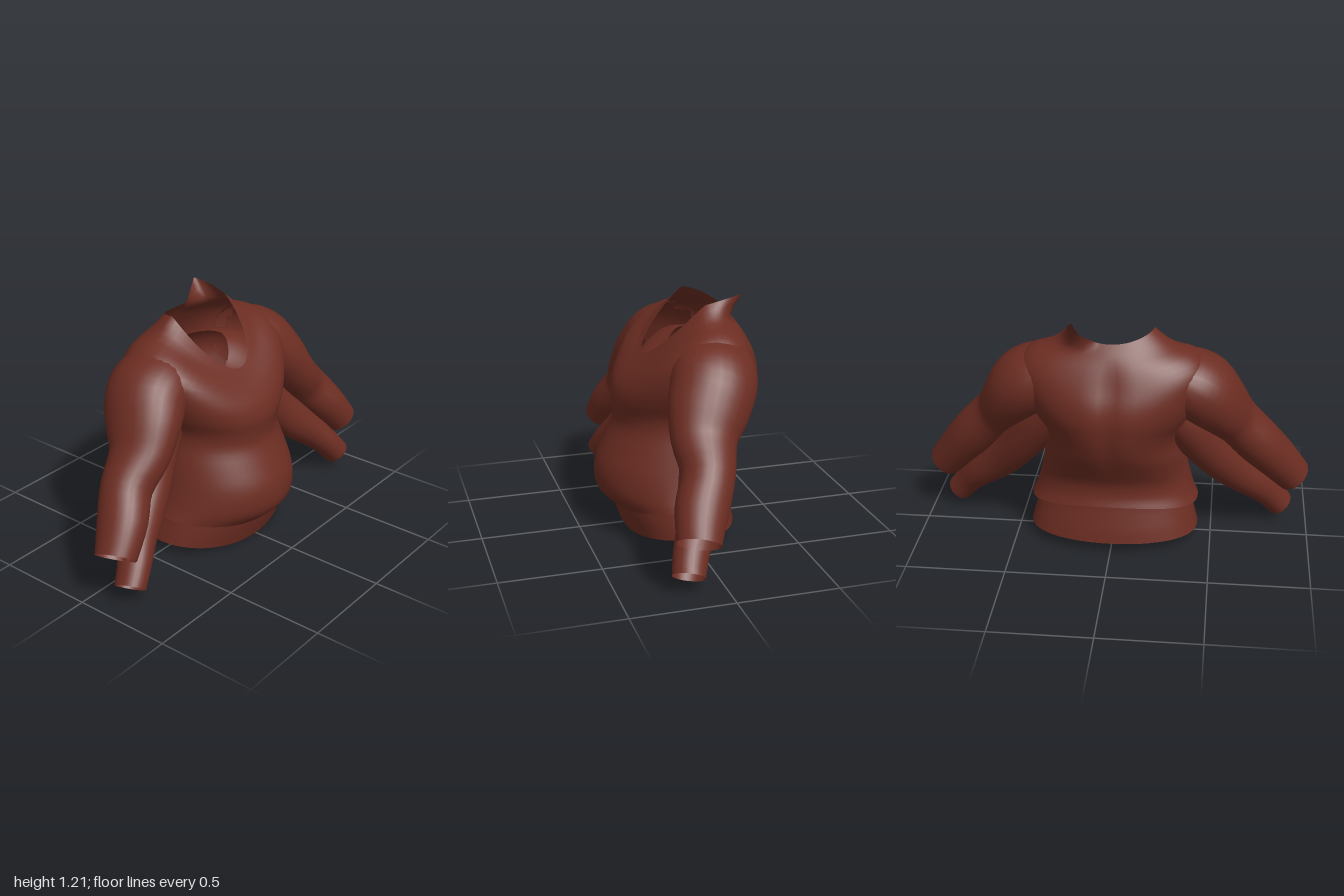
import * as THREE from 'three';

const SEG = 64;
const cloth = new THREE.MeshStandardMaterial({ color: 0x6c2d22, side: THREE.DoubleSide });
cloth.name = 'russet cloth';

// Smoothly add rows between the given rows of numbers
function refine(rows, steps) {
  const curve = new THREE.CubicInterpolant(rows.map((_, k) => k), rows.flat(), rows[0].length);
  const count = (rows.length - 1) * steps;
  return Array.from({ length: count + 1 }, (_, k) => Array.from(curve.evaluate(k / steps)));
}

// Skin a list of closed rings into an open tube, leaving out faces where isHole(corner) holds
function loft(rings, name, { flip = false, isHole = () => false } = {}) {
  const n = rings[0].length, pos = [], index = [];
  const points = rings.flat(), cut = points.map(isHole);
  for (const p of points) pos.push(p.x, p.y, p.z);
  for (let r = 0; r < rings.length - 1; r++) {
    for (let i = 0; i < n; i++) {
      const a = r * n + i, b = r * n + (i + 1) % n, c = a + n, d = b + n;
      if (cut[a] && cut[b] && cut[c] && cut[d]) continue;
      if (flip) index.push(a, b, c, b, d, c);
      else index.push(a, c, b, b, c, d);
    }
  }
  const geo = new THREE.BufferGeometry();
  geo.setAttribute('position', new THREE.Float32BufferAttribute(pos, 3));
  geo.setIndex(index);
  geo.computeVertexNormals();
  const mesh = new THREE.Mesh(geo, cloth);
  mesh.name = name;
  return mesh;
}

// Torso ring: half width, y and z at the front, sides and back, roundness of the
// front and back in plan (1 = ellipse, less = boxier), depth of the spine hollow,
// and how the front edge dips (2 = gently, 1 = straight down from the sides)
function torsoRing([rx, yf, zf, ys, zs, yb, zb, roundF, roundB, groove, dip]) {
  return Array.from({ length: SEG }, (_, i) => {
    const t = (i / SEG) * Math.PI * 2, s = Math.abs(Math.sin(t)), x = rx * Math.cos(t);
    const front = i < SEG / 2;
    const y = ys + (front ? (yf - ys) * s ** dip : (yb - ys) * s * s);
    let z = zs + (front ? (zf - zs) * s ** roundF : (zb - zs) * s ** roundB);
    if (!front) z += groove * Math.exp(-((x / 0.05) ** 2));
    return new THREE.Vector3(x, y, z);
  });
}

// Sleeve from stations: centre x, y, z, radius across, radius front to back
function sleeve(stations, side, name) {
  const rows = refine(stations, 3);
  const centres = rows.map(s => new THREE.Vector3(s[0], s[1], s[2]));
  const rings = rows.map((s, k) => {
    const t = centres[Math.min(k + 1, centres.length - 1)].clone()
      .sub(centres[Math.max(k - 1, 0)]).normalize();
    const v = new THREE.Vector3(0, 0, 1).addScaledVector(t, -t.z).normalize();
    const u = new THREE.Vector3().crossVectors(v, t);
    return Array.from({ length: 28 }, (_, i) => {
      const a = (i / 28) * Math.PI * 2;
      const p = centres[k].clone()
        .addScaledVector(u, s[3] * Math.cos(a)).addScaledVector(v, s[4] * Math.sin(a));
      p.x *= side;
      return p;
    });
  });
  return loft(rings, name, { flip: side > 0 });
}

// Armhole test: is a point inside the upper part of a sleeve, on either side
function armhole(stations) {
  const rows = refine(stations, 3);
  return p => rows.some(([x, y, z, a, b]) =>
    Math.hypot((Math.abs(p.x) - x) / a, (p.y - y) / a, (p.z - z) / b) < 0.92);
}

export function createModel() {
  const model = new THREE.Group();
  model.name = 'layeredSweater';

  const outerSleeve = [
    [0.31, 0.92, -0.1, 0.15, 0.19],
    [0.38, 0.885, -0.085, 0.17, 0.207],
    [0.45, 0.835, -0.06, 0.173, 0.207],
    [0.53, 0.74, -0.008, 0.145, 0.192],
    [0.605, 0.64, 0.032, 0.122, 0.158],
    [0.72, 0.52, 0.05, 0.12, 0.127],
    [0.82, 0.4, 0.11, 0.108, 0.125],
    [0.92, 0.275, 0.155, 0.092, 0.103],
  ];
  const innerSleeve = [
    [0.31, 0.74, -0.09, 0.12, 0.14],
    [0.38, 0.65, -0.065, 0.125, 0.138],
    [0.48, 0.5, -0.015, 0.113, 0.122],
    [0.6, 0.36, 0.05, 0.105, 0.105],
    [0.71, 0.26, 0.1, 0.088, 0.095],
    [0.79, 0.175, 0.15, 0.075, 0.085],
    [0.86, 0.09, 0.183, 0.07, 0.078],
  ];

  // Outer body, hem to neckline
  const outer = refine([
    [0.43, 0.14, 0.33, 0.205, 0.03, 0.26, -0.262, 1, 0.8, 0, 2],
    [0.405, 0.2, 0.39, 0.26, 0.04, 0.31, -0.247, 1.08, 0.82, 0, 2],
    [0.385, 0.27, 0.41, 0.33, 0.04, 0.38, -0.252, 1.1, 0.87, 0, 2],
    [0.37, 0.36, 0.4, 0.4, 0.03, 0.46, -0.295, 1.1, 0.92, 0, 2],
    [0.355, 0.46, 0.355, 0.49, 0, 0.55, -0.35, 1.05, 0.95, 0.01, 2],
    [0.34, 0.55, 0.312, 0.58, -0.03, 0.63, -0.385, 1, 1, 0.018, 2],
    [0.35, 0.62, 0.31, 0.66, -0.06, 0.7, -0.402, 0.95, 0.95, 0.018, 2],
    [0.4, 0.69, 0.316, 0.75, -0.08, 0.78, -0.41, 0.88, 0.88, 0.018, 2],
    [0.445, 0.76, 0.295, 0.87, -0.09, 0.86, -0.395, 0.82, 0.82, 0.018, 2],
    [0.46, 0.82, 0.25, 0.99, -0.1, 0.94, -0.36, 0.8, 0.8, 0.018, 2],
    [0.4, 0.86, 0.21, 1.06, -0.1, 1.02, -0.32, 0.85, 0.85, 0.01, 1.8],
    [0.29, 0.89, 0.18, 1.105, -0.1, 1.08, -0.28, 0.95, 0.95, 0, 1.4],
    [0.2, 0.91, 0.16, 1.173, -0.1, 1.13, -0.24, 1, 1, 0, 1.1],
  ], 3).map(torsoRing);

  // Collar corner pulled up into a point at the back left
  [1, 0.5, 0.15].forEach((pull, k) => {
    outer[outer.length - 1 - k].forEach((p, i) => {
      const d = (i / SEG) * Math.PI * 2 - Math.PI * 1.75;
      const w = pull * Math.max(0, 1 - (d > 0 ? d / 0.75 : -d / 0.45));
      p.add(new THREE.Vector3(0.05, 0.064, -0.091).multiplyScalar(w));
    });
  });
  model.add(loft(outer, 'outerBody', { isHole: armhole(outerSleeve) }));

  // Inner body, longer at the hem and lower at the neck
  const inner = refine([
    [0.432, 0.003, 0.27, 0.06, 0, 0.06, -0.28, 0.95, 0.78, 0, 2],
    [0.41, 0.1, 0.305, 0.14, 0.01, 0.15, -0.265, 1, 0.8, 0, 2],
    [0.385, 0.2, 0.33, 0.24, 0.02, 0.28, -0.235, 1.1, 0.85, 0, 2],
    [0.355, 0.36, 0.33, 0.4, 0.02, 0.43, -0.25, 1.1, 0.92, 0, 2],
    [0.335, 0.48, 0.3, 0.5, 0, 0.54, -0.31, 1.05, 1, 0, 2],
    [0.32, 0.6, 0.27, 0.62, -0.04, 0.66, -0.36, 1, 1, 0, 2],
    [0.36, 0.7, 0.26, 0.74, -0.07, 0.78, -0.37, 0.95, 0.95, 0, 2],
    [0.36, 0.76, 0.22, 0.86, -0.09, 0.86, -0.35, 0.9, 0.9, 0, 2],
    [0.29, 0.82, 0.14, 0.95, -0.09, 0.94, -0.28, 0.95, 0.95, 0, 2],
    [0.15, 0.86, 0.04, 0.98, -0.09, 0.97, -0.22, 1, 1, 0, 2],
  ], 2).map(torsoRing);
  model.add(loft(inner, 'innerBody', { isHole: armhole(innerSleeve) }));

  // Sleeves, both sides
  for (const [side, label] of [[1, 'left'], [-1, 'right']]) {
    model.add(sleeve(outerSleeve, side, label + 'OuterSleeve'));
    model.add(sleeve(innerSleeve, side, label + 'InnerSleeve'));
  }
  return model;
}
